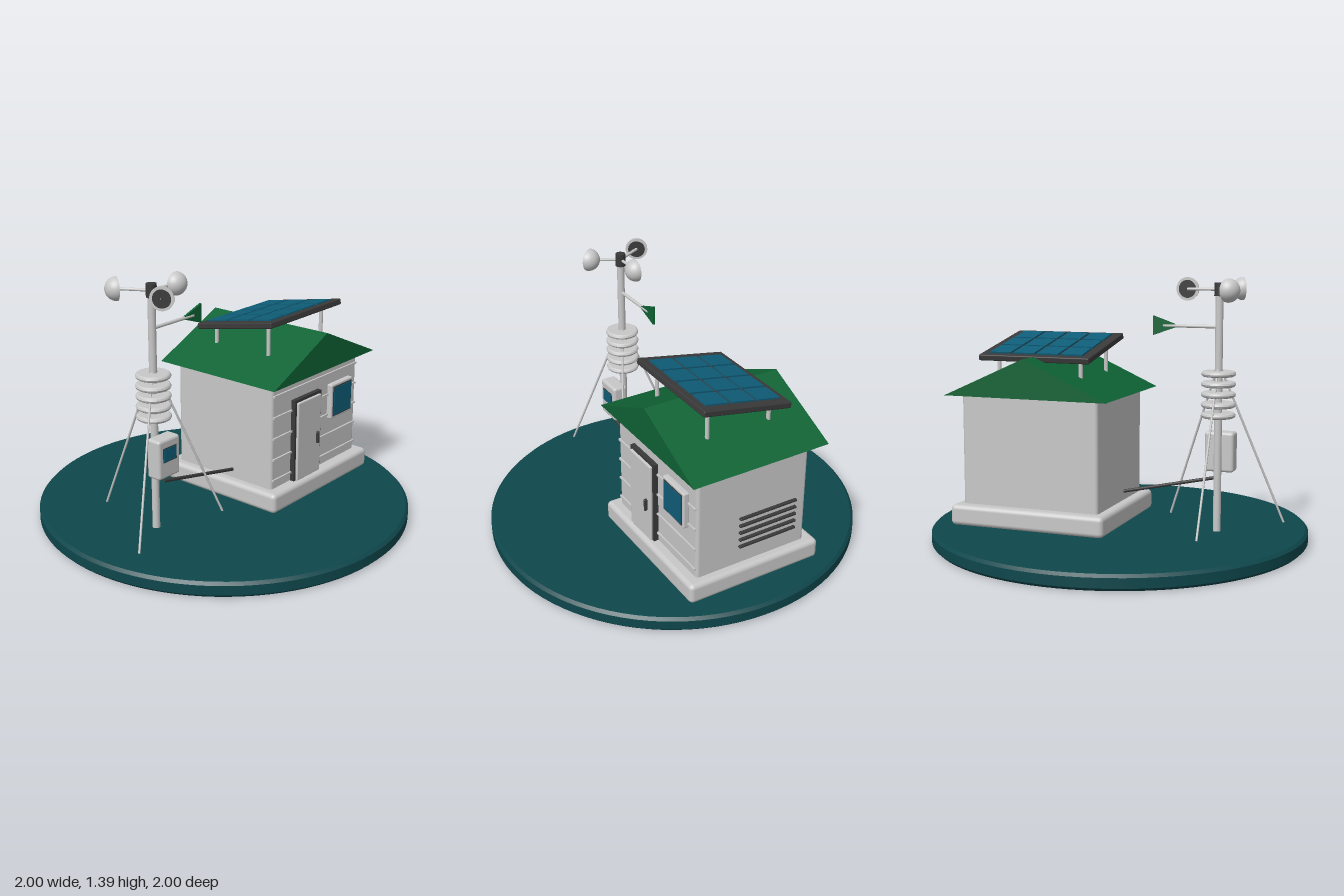
import * as THREE from 'three';
import { toCreasedNormals } from 'three/addons/utils/BufferGeometryUtils.js';
import { RoundedBoxGeometry } from 'three/addons/geometries/RoundedBoxGeometry.js';

const material = (name, color) => Object.assign(new THREE.MeshStandardMaterial({ color }), { name });

export function createModel() {
  const model = new THREE.Group();
  model.name = 'weatherStation';

  const teal = material('deep teal', 0x0e474c);
  const grey = material('light grey', 0xc8c8c8);
  const dark = material('charcoal', 0x3a3a3a);
  const green = material('green', 0x0f6335);
  const glass = material('blue glass', 0x0f5d78);

  const add = (name, geometry, mat, x = 0, y = 0, z = 0, parent = model) => {
    const mesh = new THREE.Mesh(geometry, mat);
    mesh.name = name;
    mesh.position.set(x, y, z);
    parent.add(mesh);
    return mesh;
  };
  const group = (name, x = 0, y = 0, z = 0, parent = model) => {
    const g = new THREE.Group();
    g.name = name;
    g.position.set(x, y, z);
    parent.add(g);
    return g;
  };
  const box = (w, h, d) => new THREE.BoxGeometry(w, h, d);
  const rounded = (w, h, d, r) => new RoundedBoxGeometry(w, h, d, 3, r);
  const cyl = (r, h) => new THREE.CylinderGeometry(r, r, h, 20);
  const lathe = (points, segments) => toCreasedNormals(
    new THREE.LatheGeometry(points.map(([r, y]) => new THREE.Vector2(r, y)), segments), 0.5);
  // Straight rod between two points
  const rod = (name, a, b, r, mat, parent = model) => {
    const from = new THREE.Vector3(...a), to = new THREE.Vector3(...b);
    const dir = to.clone().sub(from);
    const mesh = add(name, new THREE.CylinderGeometry(r, r, dir.length(), 12), mat, 0, 0, 0, parent);
    mesh.position.copy(from).add(to).multiplyScalar(0.5);
    mesh.quaternion.setFromUnitVectors(new THREE.Vector3(0, 1, 0), dir.normalize());
    return mesh;
  };

  // Round base with bevelled rim
  add('base', lathe([[0, 0], [0.985, 0], [1, 0.015], [1, 0.065], [0.985, 0.08], [0, 0.08]], 96), teal);

  // Hut body
  const hut = group('hut', 0.385);
  add('foundation', rounded(0.87, 0.11, 0.77, 0.025), grey, 0, 0.135, 0, hut);
  add('walls', rounded(0.77, 0.62, 0.645, 0.018), grey, 0, 0.475, 0, hut);
  for (let i = 0; i < 5; i++) {
    add('sidingStrip', box(0.75, 0.01, 0.012), grey, 0, 0.238 + i * 0.118, 0.326, hut);
    add('ventSlat', rounded(0.02, 0.014, 0.34, 0.005), dark, 0.39, 0.29 + i * 0.0415, -0.09, hut);
  }

  // Gabled roof
  const gable = new THREE.Shape([[-0.455, 0.775], [0.455, 0.775], [0, 0.98]].map((p) => new THREE.Vector2(...p)));
  const roof = new THREE.ExtrudeGeometry(gable, { depth: 0.775, bevelEnabled: false });
  add('roof', roof.translate(0, 0, -0.3875), green, 0, 0, 0, hut);

  // Door
  add('doorFrame', box(0.235, 0.46, 0.03), dark, -0.1, 0.42, 0.333, hut);
  add('doorPanel', rounded(0.205, 0.445, 0.03, 0.006), grey, -0.1, 0.412, 0.346, hut);
  add('doorHandle', rounded(0.015, 0.07, 0.018, 0.006), dark, -0.032, 0.395, 0.368, hut);

  // Window
  add('windowFrame', rounded(0.2, 0.2, 0.035, 0.008), grey, 0.21, 0.55, 0.335, hut);
  add('windowBorder', box(0.172, 0.172, 0.004), dark, 0.21, 0.55, 0.353, hut);
  add('windowGlass', box(0.16, 0.16, 0.006), glass, 0.21, 0.55, 0.355, hut);

  // Tilted solar panel on four posts
  for (const x of [-0.235, 0.235]) {
    rod('panelPost', [x, 0.86, 0.178], [x, 1.045, 0.178], 0.011, grey, hut);
    rod('panelPost', [x, 0.86, -0.177], [x, 0.975, -0.177], 0.011, grey, hut);
  }
  const panel = group('solarPanel', 0.005, 1.014, 0, hut);
  panel.rotation.x = -0.19;
  add('panelFrame', rounded(0.63, 0.032, 0.51, 0.006), dark, 0, 0, 0, panel);
  for (let i = 0; i < 4; i++) {
    for (let j = 0; j < 3; j++) {
      add('solarCell', box(0.12, 0.012, 0.133), glass, (i - 1.5) * 0.136, 0.018, (j - 1) * 0.15, panel);
    }
  }

  // Mast
  const mast = group('mast', -0.54);
  add('pole', cyl(0.02, 1.26), grey, 0, 0.71, 0, mast);
  for (let i = 0; i < 3; i++) {
    const a = Math.PI / 6 + i * Math.PI * 2 / 3;
    rod('guyWire', [0, 0.96, 0], [Math.cos(a) * 0.36, 0.112, Math.sin(a) * 0.36], 0.006, grey, mast);
  }

  // Stacked shield plates
  const plate = lathe([[0, -0.014], [0.078, -0.014], [0.086, -0.009], [0.09, 0], [0.086, 0.009], [0.078, 0.014], [0, 0.014]], 32);
  for (let i = 0; i < 5; i++) add('shieldPlate', plate, grey, 0, 0.69 + i * 0.0535, 0, mast);

  // Instrument box with display
  add('instrumentBox', rounded(0.155, 0.21, 0.085, 0.016), grey, 0, 0.492, 0.06, mast);
  add('displayBorder', box(0.096, 0.076, 0.004), dark, 0, 0.515, 0.103, mast);
  add('displayScreen', box(0.088, 0.068, 0.006), glass, 0, 0.515, 0.105, mast);

  // Wind vane
  rod('vaneArm', [0, 1.143, 0], [0.3, 1.143, 0], 0.009, grey, mast);
  const fin = new THREE.Shape([[0.21, 1.143], [0.355, 1.092], [0.355, 1.194]].map((p) => new THREE.Vector2(...p)));
  const finGeometry = new THREE.ExtrudeGeometry(fin, { depth: 0.012, bevelEnabled: false });
  add('vaneFin', finGeometry.translate(0, 0, -0.006), green, 0, 0, 0, mast);

  // Spinning cups
  add('cupHub', cyl(0.027, 0.068), dark, 0, 1.333, 0, mast);
  const dome = new THREE.SphereGeometry(0.06, 28, 12, 0, Math.PI * 2, 0, Math.PI / 2).rotateX(Math.PI / 2);
  const rim = new THREE.CircleGeometry(0.06, 28).rotateY(Math.PI);
  const hollow = new THREE.CircleGeometry(0.046, 28).rotateY(Math.PI);
  for (let i = 0; i < 3; i++) {
    const a = i * Math.PI * 2 / 3;
    const x = Math.cos(a) * 0.17, z = -Math.sin(a) * 0.17;
    rod('cupArm', [0, 1.333, 0], [x, 1.333, z], 0.008, grey, mast);
    const cup = group('cup', x, 1.333, z, mast);
    cup.rotation.y = -a;
    add('cupDome', dome, grey, 0, 0, 0, cup);
    add('cupRim', rim, grey, 0, 0, 0, cup);
    add('cupHollow', hollow, dark, 0, 0, -0.003, cup);
  }

  // Cable from the instrument box to the hut
  rod('cable', [-0.54, 0.355, 0.06], [0.01, 0.235, 0.06], 0.009, dark);

  return model;
}
